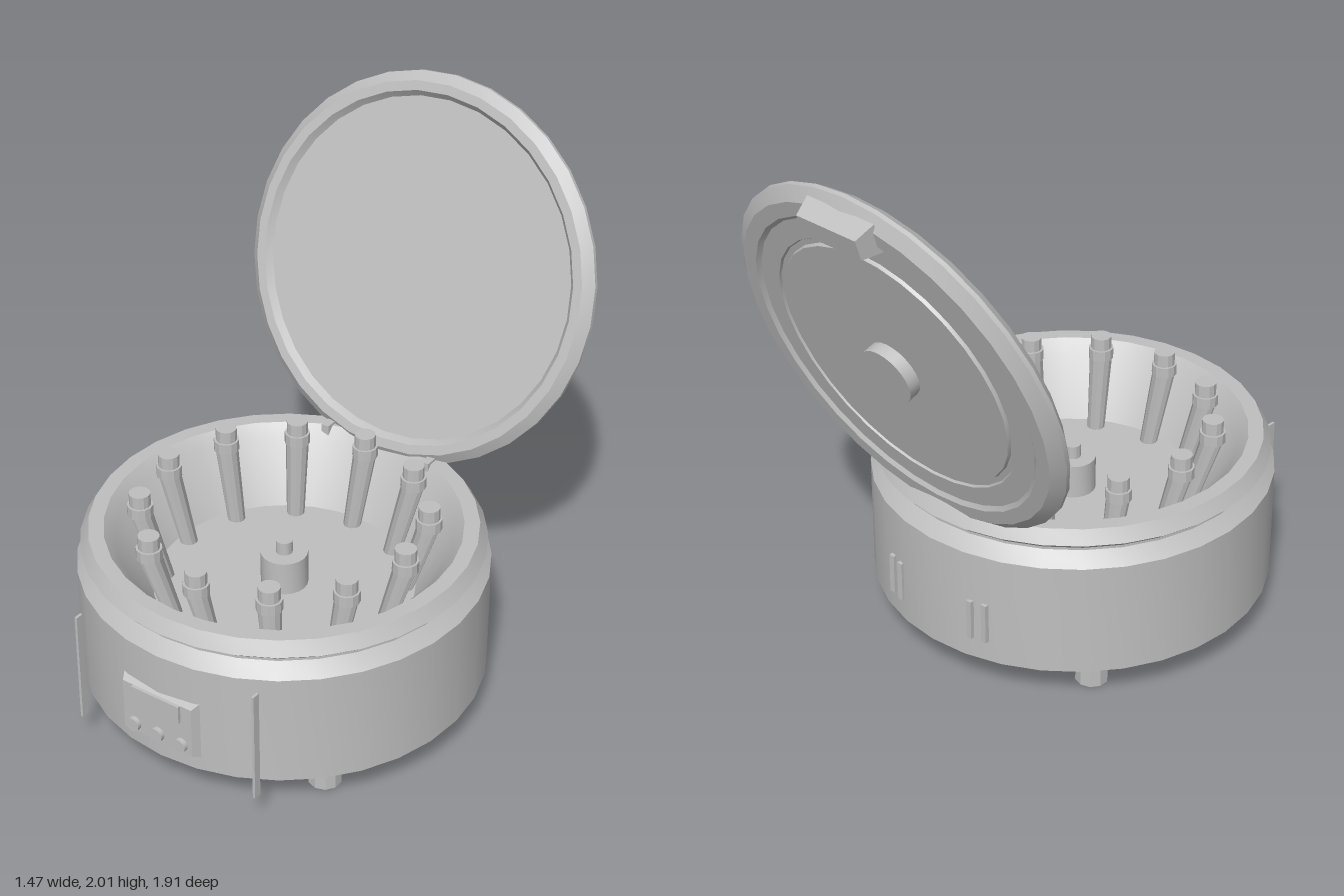
import * as THREE from 'three';
import { toCreasedNormals, mergeVertices } from 'three/addons/utils/BufferGeometryUtils.js';

const grey = new THREE.MeshStandardMaterial({ color: 0xbfbfbf });
grey.name = 'casing grey';

const CZ = 0.19; // centre of the drum along z
const R = 0.735; // drum radius

function add(parent, name, geometry, x = 0, y = 0, z = 0) {
  const mesh = new THREE.Mesh(geometry, grey);
  mesh.name = name;
  mesh.position.set(x, y, z);
  parent.add(mesh);
  return mesh;
}

// Revolved profile with sharp edges kept
function revolve(profile, segments = 32) {
  const points = profile.map(([r, y]) => new THREE.Vector2(r, y));
  return toCreasedNormals(new THREE.LatheGeometry(points, segments), 0.45);
}

// Box whose +z face is smaller than its back
function taperedBox(w, h, d, inset) {
  const g = new THREE.BoxGeometry(w, h, d);
  const p = g.attributes.position;
  for (let i = 0; i < p.count; i++) {
    if (p.getZ(i) > 0) {
      p.setX(i, p.getX(i) - Math.sign(p.getX(i)) * inset);
      p.setY(i, p.getY(i) - Math.sign(p.getY(i)) * inset);
    }
  }
  g.computeVertexNormals();
  return g;
}

export function createModel() {
  const model = new THREE.Group();
  model.name = 'centrifuge';

  // Drum with stepped rim and inner bowl
  add(model, 'drum', revolve([
    [0, 0.08], [0.64, 0.08], [R, 0.14], [R, 0.57], [0.69, 0.62], [0.69, 0.63],
    [0.72, 0.655], [0.69, 0.705], [0.635, 0.705], [0.595, 0.66], [0.47, 0.44], [0, 0.44],
  ]), 0, 0, CZ);

  // Feet
  for (const x of [-0.44, 0.44]) {
    for (const z of [-0.38, 0.38]) {
      add(model, 'foot', toCreasedNormals(new THREE.CylinderGeometry(0.06, 0.06, 0.1, 10), 0.45), x, 0.05, CZ + z);
    }
  }

  // Rotor hub and spindle
  add(model, 'hub', revolve([
    [0, 0.43], [0.085, 0.43], [0.085, 0.57], [0.03, 0.57], [0.03, 0.62], [0, 0.62],
  ], 20), 0, 0, CZ);

  // Ring of tubes leaning outward, each with a stepped cap
  const leaning = revolve([[0, 0.44], [0.033, 0.44], [0.043, 0.71], [0, 0.71]], 12);
  const p = leaning.attributes.position;
  for (let i = 0; i < p.count; i++) {
    p.setZ(i, p.getZ(i) + 0.43 + 0.08 * (p.getY(i) - 0.44) / 0.27);
  }
  const cap = revolve([
    [0, 0.7], [0.047, 0.7], [0.047, 0.742], [0.039, 0.742], [0.039, 0.79], [0, 0.79],
  ], 12);
  for (let i = 0; i < 12; i++) {
    const tube = new THREE.Group();
    tube.name = 'tube';
    tube.position.z = CZ;
    tube.rotation.y = i * Math.PI / 6;
    add(tube, 'tubeBody', leaning);
    add(tube, 'tubeCap', cap, 0, 0, 0.51);
    model.add(tube);
  }

  // Control panel with display and knobs
  add(model, 'controlPanel', taperedBox(0.37, 0.28, 0.075, 0.04), 0, 0.31, 0.8975);
  add(model, 'display', new THREE.BoxGeometry(0.2, 0.07, 0.03), 0, 0.375, 0.932);
  const knob = toCreasedNormals(new THREE.CylinderGeometry(0.027, 0.027, 0.03, 16).rotateX(Math.PI / 2), 0.45);
  for (const x of [-0.1, 0, 0.1]) add(model, 'knob', knob, x, 0.245, 0.937);

  // Front fins, rear vents and hinge blocks
  for (const s of [-1, 1]) {
    add(model, 'frontFin', new THREE.BoxGeometry(0.01, 0.435, 0.03), s * 0.375, 0.332, 0.882);
    for (const x of [0.17, 0.225]) {
      const z = CZ - Math.sqrt(R * R - x * x);
      add(model, 'rearVent', new THREE.BoxGeometry(0.022, 0.155, 0.02), s * x, 0.3, z);
    }
    add(model, 'hingeBlock', new THREE.BoxGeometry(0.03, 0.05, 0.08), s * 0.22, 0.69, -0.42);
  }

  // Open lid, leaning back
  const lid = new THREE.Group();
  lid.name = 'lid';
  lid.position.set(0, 1.325, -0.656);
  lid.rotation.x = -THREE.MathUtils.degToRad(18.15);
  model.add(lid);
  add(lid, 'lidShell', revolve([
    [0, -0.034], [0.49, -0.034], [0.495, -0.022], [0.515, -0.022], [0.52, -0.03], [0.6, -0.03],
    [0.615, -0.042], [0.67, -0.042], [0.715, -0.008], [0.715, 0.008], [0.68, 0.04],
    [0.645, 0.04], [0.625, 0.015], [0, 0.015],
  ]).rotateX(Math.PI / 2));
  add(lid, 'lidBoss', toCreasedNormals(
    new THREE.CylinderGeometry(0.11, 0.11, 0.05, 24).rotateX(Math.PI / 2), 0.45), 0, -0.01, -0.055);
  add(lid, 'lidHandle', taperedBox(0.3, 0.115, 0.075, 0.018).rotateY(Math.PI), 0, 0.622, -0.067);

  return model;
}
